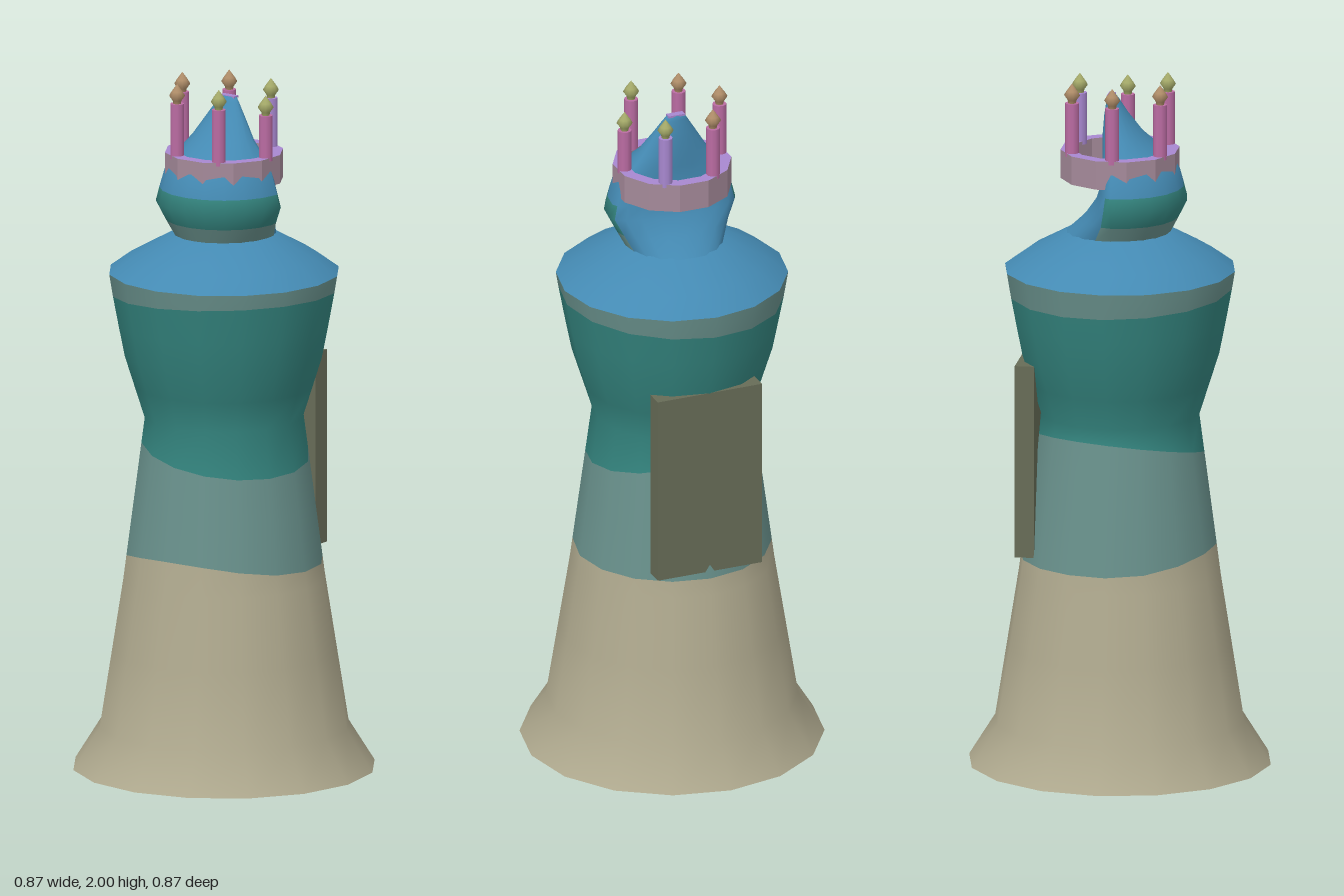
import * as THREE from 'three';

const mat = (name, color) => Object.assign(new THREE.MeshStandardMaterial({ color }), { name });
const khaki = mat('khaki', 0xb0aa8f);
const greyTeal = mat('greyTeal', 0x69918c);
const teal = mat('teal', 0x34857f);
const blue = mat('blue', 0x448ab3);
const mauve = mat('mauve', 0xa58a9a);
const purple = mat('purple', 0xa888d0);
const pink = mat('pink', 0xbb6ca3);
const tan = mat('tan', 0xae8c68);
const olive = mat('olive', 0xa3a868);
const slate = mat('slate', 0x676c57);

function addMesh(parent, name, geometry, material) {
  const m = new THREE.Mesh(geometry, material);
  m.name = name;
  parent.add(m);
  return m;
}

// Closed loft: point(row, angle) gives a corner, paint(row, angle) picks a material slot
function loft(rowCount, segs, point, paint = () => 0) {
  const pos = [], slots = [];
  for (let i = 0; i < rowCount; i++)
    for (let j = 0; j < segs; j++) pos.push(...point(i, (j / segs) * Math.PI * 2));
  for (let i = 0; i < rowCount - 1; i++)
    for (let j = 0; j < segs; j++) {
      const a = i * segs + j, b = i * segs + (j + 1) % segs;
      const slot = paint(i, ((j + 0.5) / segs) * Math.PI * 2);
      (slots[slot] ??= []).push(a, b, b + segs, a, b + segs, a + segs);
    }
  const g = new THREE.BufferGeometry();
  g.setAttribute('position', new THREE.Float32BufferAttribute(pos, 3));
  const index = [];
  slots.forEach((list, slot) => {
    g.addGroup(index.length, list.length, slot);
    index.push(...list);
  });
  g.setIndex(index);
  g.computeVertexNormals();
  return g;
}

// Robe silhouette as [y, radius]
const PROFILE = [[0, 0.433], [0.12, 0.358], [0.55, 0.29], [1.02, 0.228], [1.2, 0.285], [1.35, 0.315], [1.44, 0.33]];
function radiusAt(y) {
  const k = Math.max(1, PROFILE.findIndex(p => p[0] >= y));
  const [y0, r0] = PROFILE[k - 1], [y1, r1] = PROFILE[k];
  return THREE.MathUtils.mapLinear(y, y0, y1, r0, r1);
}

function buildRobe(parent) {
  // Wavy colour borders, as height by angle around the body
  const low = t => 0.6 + 0.042 * Math.max(0, Math.cos(t)) ** 2;
  const middle = t => 0.93 - 0.045 * Math.sin(t) - 0.02 * Math.cos(t);
  const high = t => 1.38 + 0.015 * Math.sin(t) + 0.008 * Math.cos(t);
  const rows = [0, 0.12, 0.34, 0.55, low, 0.76, middle, 1.02, 1.11, 1.2, 1.29, high, 1.44];
  const robe = loft(rows.length, 16, (i, t) => {
    const y = typeof rows[i] === 'function' ? rows[i](t) : rows[i];
    const r = radiusAt(y);
    return [r * Math.sin(t), y, r * Math.cos(t)];
  }, i => (i < 4 ? 0 : i < 6 ? 1 : i < 11 ? 2 : 1));
  addMesh(parent, 'robe', robe, [khaki, greyTeal, teal]);
  addMesh(parent, 'robeBottom', new THREE.CircleGeometry(0.433, 16).rotateX(Math.PI / 2), khaki);

  const cape = [[1.44, 0.33], [1.485, 0.268], [1.552, 0.145], [1.553, 0.002]];
  addMesh(parent, 'shoulders', loft(cape.length, 16, (i, t) =>
    [cape[i][1] * Math.sin(t), cape[i][0], cape[i][1] * Math.cos(t)]), blue);
}

function buildHead(parent) {
  // Sections as [y, half width, front z, back z]
  const sections = [
    [1.545, 0.142, 0.142, -0.155], [1.595, 0.168, 0.168, -0.1], [1.645, 0.194, 0.193, -0.065],
    [1.685, 0.184, 0.183, -0.052], [1.75, 0.165, 0.165, -0.046], [1.79, 0.135, 0.12, -0.046],
    [1.83, 0.1, 0.07, -0.048], [1.89, 0.062, 0.022, -0.044], [1.93, 0.036, -0.002, -0.038],
    [1.945, 0.025, -0.013, -0.035], [1.9455, 0.001, -0.024, -0.025],
  ];
  // The widest point sits on z = 0 and drifts back toward the peak
  const head = loft(sections.length, 20, (i, t) => {
    const [y, w, front, back] = sections[i];
    const mid = Math.min(0, (front + back) / 2);
    const c = Math.cos(t);
    return [w * Math.sin(t), y, mid + c * (c > 0 ? front - mid : mid - back)];
  }, (i, t) => (Math.cos(t) < -0.2 || i > 2 ? 2 : i === 0 ? 0 : 1));
  addMesh(parent, 'head', head, [greyTeal, teal, blue]);
  addMesh(parent, 'peakCap', new THREE.BoxGeometry(0.05, 0.006, 0.02).translate(0, 1.944, -0.025), purple);
}

function buildCrown(parent) {
  const crown = new THREE.Group();
  crown.name = 'crown';
  parent.add(crown);

  // Twelve-sided band
  const polygon = r => Array.from({ length: 12 }, (_, k) => {
    const a = ((k + 0.5) / 12) * Math.PI * 2;
    return new THREE.Vector2(r * Math.cos(a), r * Math.sin(a));
  });
  const shape = new THREE.Shape(polygon(0.17));
  shape.holes.push(new THREE.Path(polygon(0.134).reverse()));
  const band = new THREE.ExtrudeGeometry(shape, { depth: 0.083, bevelEnabled: false });
  addMesh(crown, 'crownBand', band.rotateX(-Math.PI / 2).translate(0, 1.707, 0), [purple, mauve]);

  // Six posts with pointed finials; angle runs from +x toward +z
  const tops = [1.912, 1.942, 1.94, 1.942, 1.935, 1.93];
  tops.forEach((top, k) => {
    const a = (k / 6) * Math.PI * 2;
    const x = 0.146 * Math.cos(a), z = 0.146 * Math.sin(a);
    const post = new THREE.CylinderGeometry(0.02, 0.02, top - 1.78, 10);
    addMesh(crown, 'crownPost', post.translate(x, (top + 1.78) / 2, z), k === 5 ? purple : pink);
    const finial = [[0.011, 0], [0.013, 0.01], [0.023, 0.024], [0.016, 0.036], [0, 0.058]]
      .map(p => new THREE.Vector2(...p));
    addMesh(crown, 'finial', new THREE.LatheGeometry(finial, 10).translate(x, top - 0.001, z), x < 0 ? tan : olive);
  });
}

export function createModel() {
  const model = new THREE.Group();
  model.name = 'crownedPiece';
  buildRobe(model);
  buildHead(model);
  buildCrown(model);
  // Slab on the back
  addMesh(model, 'backSlab', new THREE.BoxGeometry(0.32, 0.56, 0.056).translate(0, 0.9, -0.25), slate);
  return model;
}
